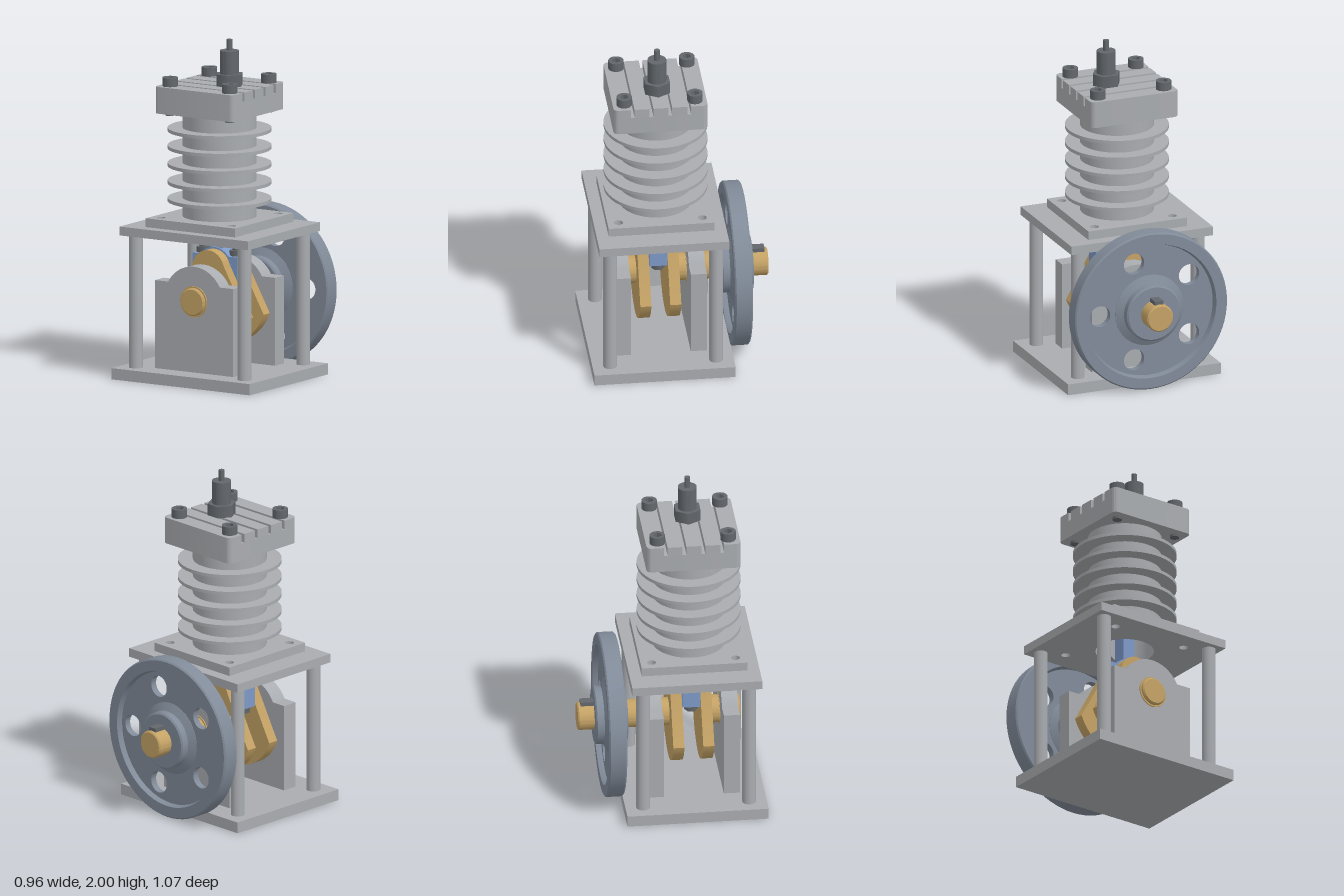
import * as THREE from 'three';
import { toCreasedNormals } from 'three/addons/utils/BufferGeometryUtils.js';

const material = (name, color) => {
  const m = new THREE.MeshStandardMaterial({ color });
  m.name = name;
  return m;
};

export function createModel() {
  const aluminium = material('aluminium', 0xa9acb0);
  const darkSteel = material('dark steel', 0x63686c);
  const brass = material('brass', 0xc4a265);
  const blue = material('blue steel', 0x7d99c8);
  const slate = material('slate iron', 0x818b99);
  const model = new THREE.Group();
  model.name = 'engine';
  // the cylinder axis stands a little in front of the origin
  const engine = new THREE.Group();
  engine.name = 'engineBody';
  engine.position.z = 0.12;
  model.add(engine);

  const shaftY = 0.484, pinY = 0.655;
  const crease = (g) => toCreasedNormals(g, 0.6);
  const add = (name, geo, mat, x = 0, y = 0, z = 0) => {
    const mesh = new THREE.Mesh(geo, mat);
    mesh.name = name;
    mesh.position.set(x, y, z);
    engine.add(mesh);
    return mesh;
  };
  const box = (w, h, d) => new THREE.BoxGeometry(w, h, d);
  const cyl = (r, h, n = 40) => new THREE.CylinderGeometry(r, r, h, n);
  const extrude = (shape, depth) => crease(new THREE.ExtrudeGeometry(shape, { depth, bevelEnabled: false, curveSegments: 24 }));
  const upright = (shape, depth) => extrude(shape, depth).rotateX(-Math.PI / 2);
  const lathe = (pts) => crease(new THREE.LatheGeometry(pts.map(([r, y]) => new THREE.Vector2(r, y)), 72));
  const circle = (x, y, r) => new THREE.Path().absarc(x, y, r, 0, Math.PI * 2, true);
  // slab outline with separate corner radii at its lower and upper edge
  const slab = (w, y0, y1, r0 = 0, r1 = 0) => {
    const s = new THREE.Shape();
    s.moveTo(-w + r0, y0);
    s.lineTo(w - r0, y0);
    if (r0) s.absarc(w - r0, y0 + r0, r0, -Math.PI / 2, 0);
    s.lineTo(w, y1 - r1);
    if (r1) s.absarc(w - r1, y1 - r1, r1, 0, Math.PI / 2);
    s.lineTo(-w + r1, y1);
    if (r1) s.absarc(-w + r1, y1 - r1, r1, Math.PI / 2, Math.PI);
    s.lineTo(-w, y0 + r0);
    if (r0) s.absarc(-w + r0, y0 + r0, r0, Math.PI, Math.PI * 1.5);
    return s;
  };
  const corners = (dx, dz, fn) => {
    for (const sx of [-1, 1]) for (const sz of [-1, 1]) fn(sx * dx, sz * dz);
  };

  // frame: base, posts and drilled deck plates
  add('basePlate', box(0.962, 0.066, 0.826), aluminium, 0, 0.033, 0);
  corners(0.378, 0.31, (x, z) => add('post', cyl(0.04, 0.784), aluminium, x, 0.458, z));
  for (const [name, w, d, y] of [['deckPlate', 0.447, 0.38, 0.848], ['cylinderFlange', 0.31, 0.31, 0.9]]) {
    const s = slab(w, -d, d);
    s.holes.push(circle(0, 0, 0.17));
    corners(0.245, 0.245, (x, z) => s.holes.push(circle(x, z, 0.026)));
    add(name, upright(s, 0.052), aluminium, 0, y, 0);
  }

  // finned cylinder with open bore
  const profile = [[0.17, 0.95], [0.215, 0.95]];
  for (let i = 0; i < 5; i++) {
    const y = 1.05 + i * 0.1035;
    profile.push([0.215, y - 0.01], [0.302, y - 0.01], [0.302, y + 0.01], [0.215, y + 0.01]);
  }
  profile.push([0.215, 1.575], [0.17, 1.575], [0.17, 0.95]);
  add('finnedCylinder', lathe(profile), aluminium);
  add('piston', cyl(0.166, 0.28, 64), aluminium, 0, 1.26, 0);

  // cylinder head: slab with raised strips between the slots
  add('headSlab', upright(slab(0.275, -0.275, 0.275, 0.03, 0.03), 0.105), aluminium, 0, 1.57, 0);
  const slots = [-0.165, -0.055, 0.055, 0.165];
  for (let i = 0; i < 5; i++) {
    const y0 = i ? slots[i - 1] + 0.011 : -0.275;
    const y1 = i < 4 ? slots[i] - 0.011 : 0.275;
    add('headStrip', upright(slab(0.275, y0, y1, i ? 0 : 0.03, i < 4 ? 0 : 0.03), 0.053), aluminium, 0, 1.675, 0);
  }
  const cap = new THREE.Shape().absarc(0, 0, 0.045, 0, Math.PI * 2);
  const hexHole = [];
  for (let i = 0; i < 6; i++) hexHole.push(new THREE.Vector2(Math.cos(-i * Math.PI / 3), Math.sin(-i * Math.PI / 3)).multiplyScalar(0.026));
  cap.holes.push(new THREE.Path(hexHole));
  corners(0.207, 0.207, (x, z) => {
    add('headBolt', upright(cap, 0.052), darkSteel, x, 1.728, z);
    add('headBoltSocketFloor', cyl(0.03, 0.02), darkSteel, x, 1.735, z);
    add('headBoltTip', cyl(0.027, 0.02), darkSteel, x, 1.565, z);
  });

  // spark plug
  add('plugHex', cyl(0.084, 0.07, 6).rotateY(Math.PI / 6), darkSteel, 0.068, 1.763, 0);
  add('plugBody', lathe([[0, 1.79], [0.055, 1.79], [0.055, 1.935], [0.017, 1.935], [0.017, 2], [0, 2]]), darkSteel, 0.068, 0, 0);

  // bearing blocks with a rounded crown
  const block = new THREE.Shape();
  block.moveTo(-0.272, 0.066);
  block.lineTo(0.272, 0.066);
  block.lineTo(0.272, 0.585);
  const a = Math.asin((0.585 - shaftY) / 0.206);
  block.absarc(0, shaftY, 0.206, a, Math.PI - a);
  block.lineTo(-0.272, 0.585);
  for (const z of [0.175, -0.27]) add('bearingBlock', extrude(block, 0.095), aluminium, 0, 0, z);
  for (const z of [0.224, -0.224]) add('bearingBush', cyl(0.092, 0.105).rotateX(Math.PI / 2), brass, 0, shaftY, z);

  // crankshaft: two journals, crank pin and counterweighted webs
  const rod = (name, r, z0, z1, y) => {
    const c = 0.008;
    const g = lathe([[0, z0], [r - c, z0], [r, z0 + c], [r, z1 - c], [r - c, z1], [0, z1]]);
    add(name, g.rotateX(Math.PI / 2), brass, 0, y, 0);
  };
  rod('frontJournal', 0.082, 0.06, 0.295, shaftY);
  rod('flywheelShaft', 0.082, -0.654, -0.06, shaftY);
  rod('crankPin', 0.075, -0.1, 0.1, pinY);
  const web = new THREE.Shape();
  web.absarc(0, pinY, 0.11, 0.25, Math.PI - 0.25);
  web.absarc(0, shaftY, 0.288, Math.PI + 0.35, Math.PI * 2 - 0.35);
  web.closePath();
  for (const z of [0.055, -0.12]) add('crankWeb', extrude(web, 0.065), brass, 0, 0, z);

  // connecting rod with a bolted big end
  add('rodShank', box(0.08, 0.48, 0.08), blue, 0, 0.98, 0);
  const bigEnd = new THREE.Shape().absarc(0, pinY, 0.12, 0, Math.PI * 2);
  bigEnd.holes.push(circle(0, pinY, 0.074));
  add('rodBigEnd', extrude(bigEnd, 0.108), blue, 0, 0, -0.054);
  for (const x of [-0.115, 0.115]) {
    add('rodEar', box(0.08, 0.14, 0.106), blue, x, 0.657, 0);
    add('rodBolt', cyl(0.02, 0.23, 20), darkSteel, x, 0.662, 0);
    add('rodBoltHead', cyl(0.039, 0.032, 6), darkSteel, x, 0.744, 0);
    add('rodNut', cyl(0.039, 0.032, 6), darkSteel, x, 0.571, 0);
  }

  // flywheel: rim, drilled web and stepped hub
  const wheel = (name, pts) => add(name, lathe(pts).rotateX(Math.PI / 2), slate, 0, shaftY, -0.464);
  wheel('flywheelRim', [[0.41, -0.052], [0.472, -0.052], [0.48, -0.044], [0.48, 0.044], [0.472, 0.052],
    [0.41, 0.052], [0.4, 0.02], [0.4, -0.02], [0.41, -0.052]]);
  wheel('flywheelHub', [[0.08, -0.094], [0.16, -0.094], [0.17, -0.086], [0.17, -0.045], [0.215, -0.022],
    [0.215, 0.022], [0.17, 0.045], [0.17, 0.086], [0.16, 0.094], [0.08, 0.094]]);
  const disc = new THREE.Shape().absarc(0, 0, 0.405, 0, Math.PI * 2);
  disc.holes.push(circle(0, 0, 0.2));
  for (let i = 0; i < 5; i++) {
    const t = i * Math.PI * 0.4;
    disc.holes.push(circle(0.31 * Math.cos(t), 0.31 * Math.sin(t), 0.064));
  }
  add('flywheelWeb', extrude(disc, 0.04), slate, 0, shaftY, -0.484);
  add('shaftKey', box(0.054, 0.05, 0.2), darkSteel, 0, 0.56, -0.535);

  return model;
}
